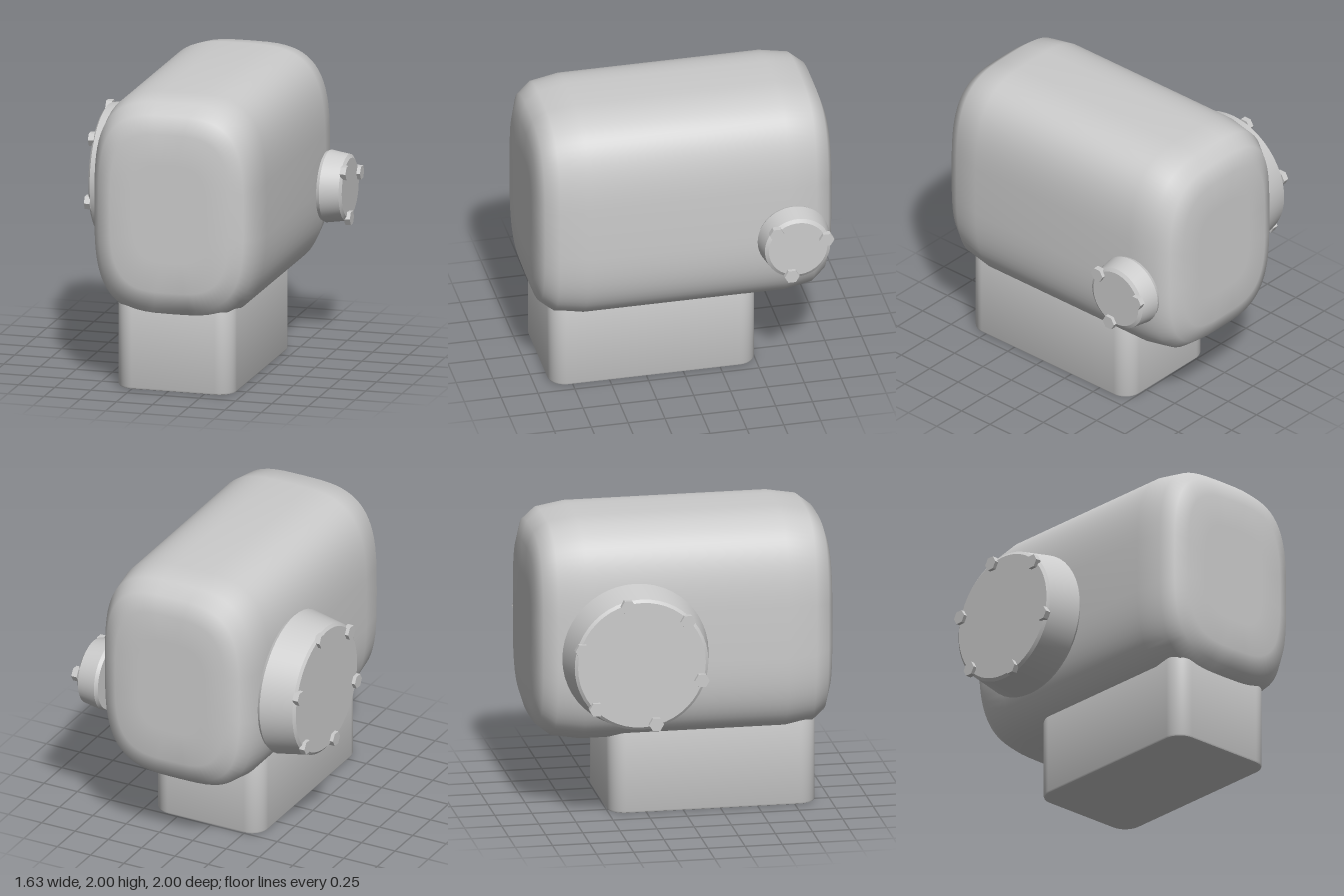
import * as THREE from 'three';
import { toCreasedNormals } from 'three/addons/utils/BufferGeometryUtils.js';

const material = new THREE.MeshStandardMaterial({ color: 0xcccccc });
const boltMaterial = new THREE.MeshStandardMaterial({ color: 0xcccccc, flatShading: true });

function addMesh(parent, name, geometry, mat = material) {
  const mesh = new THREE.Mesh(geometry, mat);
  mesh.name = name;
  parent.add(mesh);
  return mesh;
}

// Soft box lofted through superellipse rings along z
function housingGeometry() {
  const segments = 72, power = 2 / 3.4;
  // z, half width, half height
  const end = [[1, 0, 0], [1, 0.25, 0.33], [1, 0.41, 0.54], [0.96, 0.5, 0.66], [0.87, 0.555, 0.73], [0.68, 0.58, 0.76]];
  const rings = [...end, [0, 0.58, 0.76], ...end.map(([z, w, h]) => [-z, w, h]).reverse()];
  const positions = [], indices = [];
  const soften = (v) => Math.sign(v) * Math.abs(v) ** power;
  rings.forEach(([z, w, h], i) => {
    for (let j = 0; j < segments; j++) {
      const t = (j / segments) * Math.PI * 2;
      positions.push(w * soften(Math.cos(t)), h * soften(Math.sin(t)), z);
      if (i === rings.length - 1) continue;
      const a = i * segments + j, b = i * segments + (j + 1) % segments;
      const c = a + segments, d = b + segments;
      if (i > 0) indices.push(a, c, b);
      if (i < rings.length - 2) indices.push(b, c, d);
    }
  });
  const geometry = new THREE.BufferGeometry();
  geometry.setAttribute('position', new THREE.Float32BufferAttribute(positions, 3));
  geometry.setIndex(indices);
  geometry.computeVertexNormals();
  return geometry;
}

// Rounded rectangular foot with a fine bevel on its lower edge
function baseGeometry(width, depth, height, radius, bevel) {
  const x = width / 2 - bevel, y = depth / 2 - bevel, r = radius - bevel;
  const shape = new THREE.Shape();
  shape.absarc(x - r, y - r, r, 0, Math.PI / 2);
  shape.absarc(-x + r, y - r, r, Math.PI / 2, Math.PI);
  shape.absarc(-x + r, -y + r, r, Math.PI, Math.PI * 1.5);
  shape.absarc(x - r, -y + r, r, Math.PI * 1.5, Math.PI * 2);
  shape.closePath();
  const geometry = new THREE.ExtrudeGeometry(shape, {
    depth: height - 2 * bevel, bevelSize: bevel, bevelThickness: bevel, bevelSegments: 2, curveSegments: 8,
  });
  geometry.rotateX(-Math.PI / 2).translate(0, bevel, 0);
  return toCreasedNormals(geometry, 0.6);
}

// Turned cover facing sideways, with hex bolts around its rim
function makeCover(name, side, profile, boltCount, boltCircle, startDegrees, boltHeight) {
  const cover = new THREE.Group();
  cover.name = name;
  const turn = -side * Math.PI / 2;
  const points = profile.map(([r, h]) => new THREE.Vector2(r, h));
  const cap = toCreasedNormals(new THREE.LatheGeometry(points, 48), 0.4);
  addMesh(cover, 'coverPlate', cap).rotation.z = turn;
  for (let i = 0; i < boltCount; i++) {
    const t = THREE.MathUtils.degToRad(startDegrees + (i * 360) / boltCount);
    const bolt = addMesh(cover, 'hexBolt', new THREE.CylinderGeometry(0.05, 0.05, 0.04, 6), boltMaterial);
    bolt.rotation.z = turn;
    bolt.position.set(side * boltHeight, boltCircle * Math.sin(t), boltCircle * Math.cos(t));
  }
  return cover;
}

export function createModel() {
  const model = new THREE.Group();
  model.name = 'gearHousing';

  addMesh(model, 'housing', housingGeometry()).position.set(0.04, 1.24, 0);
  addMesh(model, 'base', baseGeometry(0.81, 1.4, 0.7, 0.12, 0.015)).position.set(0.037, 0, 0.2);

  // Large six-bolt cover
  const large = makeCover('largeCover', -1,
    [[0, 0], [0.48, 0], [0.492, 0.02], [0.45, 0.245], [0.43, 0.26], [0, 0.26]], 6, 0.42, -17, 0.265);
  large.position.set(-0.535, 1.15, -0.36);

  // Small three-bolt cover
  const small = makeCover('smallCover', 1,
    [[0, 0], [0.232, 0], [0.242, 0.025], [0.222, 0.155], [0.198, 0.17], [0, 0.17]], 3, 0.2, 43, 0.175);
  small.position.set(0.615, 1.06, -0.7);

  model.add(large, small);
  return model;
}
